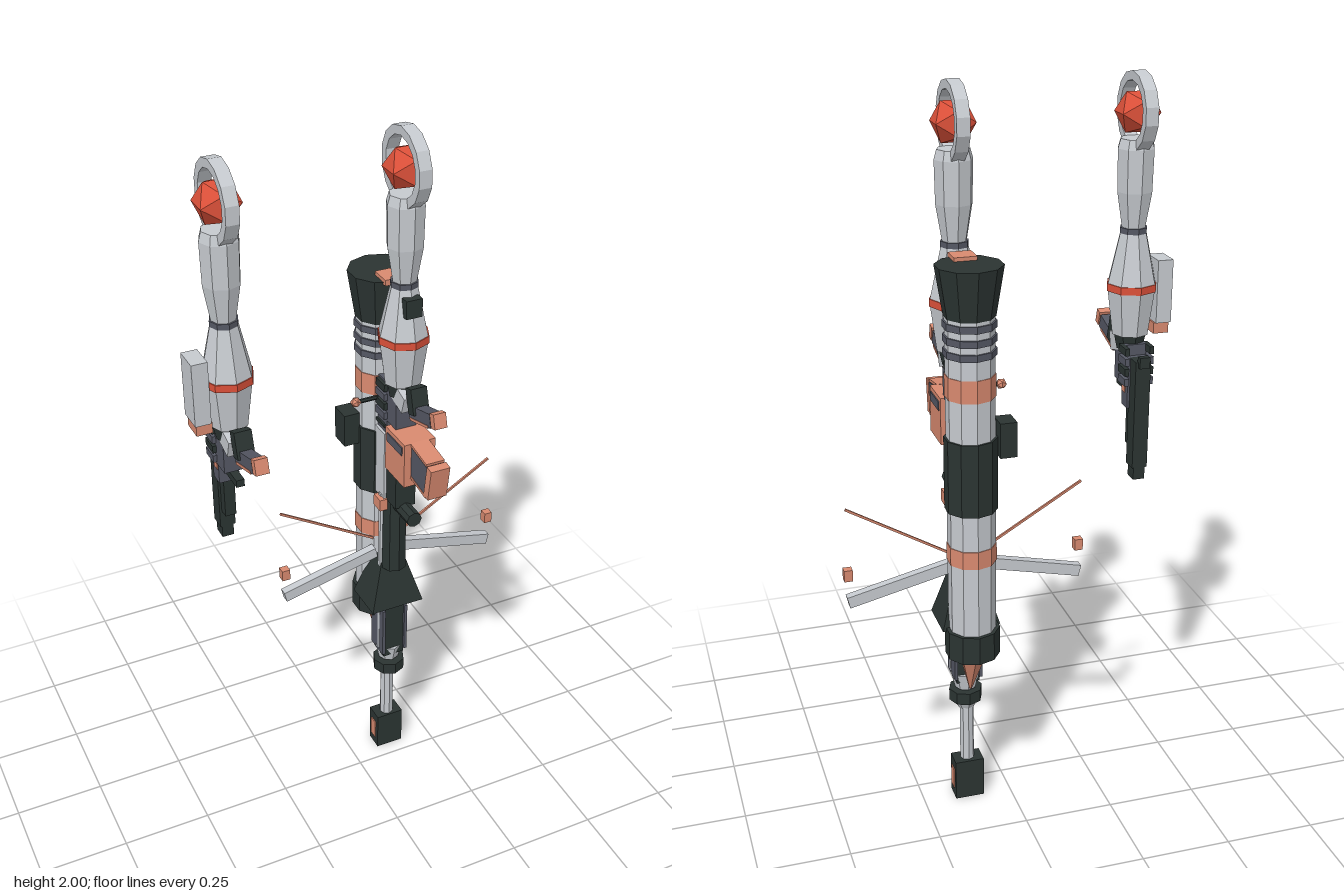
import * as THREE from 'three';

const mat = (name, color) => Object.assign(new THREE.MeshStandardMaterial({ color }), { name });

export function createModel() {
  const grey = mat('light grey', 0xc6cacf), black = mat('charcoal', 0x2b3432), slate = mat('slate', 0x555864);
  const salmon = mat('salmon', 0xd98a70), red = mat('red', 0xdb5039);
  const model = new THREE.Group();

  // Faceted mesh with one normal per face
  function add(parent, name, geometry, material, x, y, z, rx = 0, rz = 0) {
    const g = geometry.index ? geometry.toNonIndexed() : geometry;
    g.computeVertexNormals();
    const m = new THREE.Mesh(g, material);
    m.name = name;
    m.position.set(x, y, z);
    m.rotation.set(rx, 0, rz);
    parent.add(m);
    return m;
  }
  // Box given by its centre and size
  const box = (p, name, m, x, y, z, w, h, d, rx, rz) =>
    add(p, name, new THREE.BoxGeometry(w, h, d), m, x, y, z, rx, rz);
  // Upright tapered cylinder between two heights
  const stack = (p, name, m, x, z, y0, y1, r0, r1, n = 8) =>
    add(p, name, new THREE.CylinderGeometry(r1, r0, y1 - y0, n), m, x, (y0 + y1) / 2, z);

  // Arm with shoulder ring, jewel and gripping hand, centred on its own x = 0
  function makeArm(name, x) {
    const arm = new THREE.Group();
    arm.name = name;
    arm.position.x = x;
    model.add(arm);
    const ring = new THREE.Shape(), hole = new THREE.Path();
    for (let i = 0; i < 14; i++) {
      const a = (i / 14) * Math.PI * 2 + Math.PI / 14, c = Math.cos(a), s = Math.sin(a);
      ring[i ? 'lineTo' : 'moveTo'](c * 0.1, s * 0.1);
      hole[i ? 'lineTo' : 'moveTo'](c * 0.077, s * 0.077);
    }
    ring.closePath();
    hole.closePath();
    ring.holes.push(hole);
    const ringGeo = new THREE.ExtrudeGeometry(ring, { depth: 0.034, bevelEnabled: false });
    ringGeo.translate(0, 0, -0.017).rotateY(Math.PI / 2);
    add(arm, 'shoulderRing', ringGeo, grey, 0, 1.902, 0);
    add(arm, 'shoulderJewel', new THREE.IcosahedronGeometry(0.06, 0), red, 0, 1.9, 0);

    stack(arm, 'shoulderCap', grey, 0, 0, 1.81, 1.835, 0.05, 0.043);
    stack(arm, 'upperArm', grey, 0, 0, 1.70, 1.81, 0.048, 0.05);
    stack(arm, 'upperArmTaper', grey, 0, 0, 1.605, 1.70, 0.032, 0.048);
    stack(arm, 'elbow', slate, 0, 0, 1.592, 1.607, 0.037, 0.037);
    stack(arm, 'forearmTop', grey, 0, 0, 1.46, 1.593, 0.066, 0.036);
    stack(arm, 'forearmBand', red, 0, 0, 1.44, 1.46, 0.069, 0.069);
    stack(arm, 'forearm', grey, 0, 0, 1.32, 1.44, 0.05, 0.066);
    stack(arm, 'wrist', black, 0, 0, 1.28, 1.325, 0.036, 0.046);

    // Hand: palm, knuckles and fingers
    box(arm, 'palm', slate, 0, 1.245, -0.01, 0.06, 0.11, 0.07);
    box(arm, 'knuckles', grey, 0, 1.29, 0.035, 0.062, 0.05, 0.06, 0.3);
    for (let i = 0; i < 4; i++) {
      const y = 1.29 - i * 0.028;
      for (const s of [-1, 1]) box(arm, 'finger', i % 2 ? slate : black, s * 0.034, y, -0.05, 0.012, 0.02, 0.05);
    }
    // Grip leaning up and out from the hand
    box(arm, 'grip', slate, 0, 1.282, 0.125, 0.032, 0.038, 0.12, -0.28);
    box(arm, 'gripSpine', black, 0, 1.305, 0.085, 0.046, 0.07, 0.03, -0.28);
    box(arm, 'gripCap', salmon, 0, 1.306, 0.197, 0.035, 0.04, 0.022, -0.28);
    box(arm, 'gripEdge', salmon, 0, 1.263, 0.125, 0.034, 0.008, 0.1, -0.28);
    return arm;
  }

  // Pistol arm, with forearm pod
  const pistolArm = makeArm('pistolArm', -0.36);
  box(pistolArm, 'forearmPod', grey, -0.08, 1.435, 0, 0.042, 0.17, 0.072);
  box(pistolArm, 'podTip', salmon, -0.076, 1.335, 0, 0.042, 0.03, 0.06);
  box(pistolArm, 'slide', black, 0, 1.12, -0.08, 0.042, 0.3, 0.045);
  box(pistolArm, 'slideNose', black, 0, 0.965, -0.08, 0.032, 0.06, 0.04);
  box(pistolArm, 'pistolFrame', slate, 0, 1.2, -0.045, 0.055, 0.14, 0.04);
  box(pistolArm, 'underBarrel', black, 0, 1.08, -0.045, 0.03, 0.12, 0.03);
  box(pistolArm, 'rearSight', black, 0, 1.27, -0.105, 0.028, 0.03, 0.018);
  box(pistolArm, 'triggerGuard', black, 0, 1.17, 0.02, 0.022, 0.02, 0.07);
  for (const s of [-1, 1]) box(pistolArm, 'pistolAccent', salmon, s * 0.026, 1.195, -0.04, 0.008, 0.05, 0.02);

  // Rifle arm; everything below is placed around its centre line
  const rifleArm = makeArm('rifleArm', 0.12);
  box(rifleArm, 'elbowLatch', black, 0, 1.55, 0.045, 0.045, 0.05, 0.025);

  // Launcher tube on the back
  const tube = new THREE.Group();
  tube.name = 'launcherTube';
  rifleArm.add(tube);
  const sections = [
    ['tubeFlare', black, 1.45, 1.58, 0.066, 0.087], ['tubeNeck', grey, 1.3, 1.45, 0.064, 0.064],
    ['tubeBand', salmon, 1.24, 1.3, 0.066, 0.066], ['tubeUpper', grey, 1.13, 1.24, 0.064, 0.064],
    ['tubeSleeve', black, 0.93, 1.13, 0.07, 0.07], ['tubeLower', grey, 0.83, 0.93, 0.064, 0.064],
    ['tubeBand', salmon, 0.78, 0.83, 0.066, 0.066], ['tubeEnd', grey, 0.58, 0.78, 0.064, 0.064],
    ['tubeCollar', black, 0.5, 0.58, 0.074, 0.074],
  ];
  for (const [name, m, y0, y1, r0, r1] of sections) stack(tube, name, m, 0, -0.134, y0, y1, r0, r1, 10);
  for (let i = 0; i < 3; i++) stack(tube, 'coolingRing', slate, 0, -0.134, 1.35 + i * 0.036, 1.368 + i * 0.036, 0.069, 0.069, 10);
  const nose = new THREE.CylinderGeometry(0.04, 0.004, 0.13, 6);
  const np = nose.attributes.position;
  for (let i = 0; i < np.count; i++) np.setZ(i, np.getZ(i) + (0.065 - np.getY(i)) * 0.2); // lean the tip forward
  add(tube, 'rocketNose', nose, salmon, 0, 0.435, -0.135);
  box(tube, 'topLatch', salmon, 0, 1.582, -0.075, 0.06, 0.016, 0.06);
  box(tube, 'sideBox', black, -0.088, 1.125, -0.15, 0.045, 0.095, 0.06);

  // Rifle receiver and magazine
  const rifle = new THREE.Group();
  rifle.name = 'rifle';
  rifleArm.add(rifle);
  box(rifle, 'receiver', slate, 0, 1.22, -0.06, 0.06, 0.17, 0.065);
  for (let i = 0; i < 5; i++) box(rifle, 'receiverRib', black, 0, 1.17 + i * 0.03, -0.06, 0.07, 0.01, 0.055);
  box(rifle, 'body', grey, 0, 1.045, -0.068, 0.075, 0.21, 0.085);
  box(rifle, 'bodyRail', black, 0, 1.03, -0.12, 0.088, 0.19, 0.024);
  for (const s of [-1, 1]) box(rifle, 'railAccent', salmon, s * 0.047, 1.03, -0.115, 0.008, 0.15, 0.012);
  box(rifle, 'magazineWell', salmon, 0, 1.125, 0.05, 0.09, 0.13, 0.11);
  for (const s of [-1, 1]) box(rifle, 'wellPanel', slate, s * 0.045, 1.165, 0.05, 0.006, 0.025, 0.085);
  box(rifle, 'magazine', slate, 0, 1.13, 0.145, 0.05, 0.085, 0.1, 0.15);
  box(rifle, 'magazineBase', salmon, 0, 1.125, 0.2, 0.055, 0.095, 0.024, 0.15);
  for (const y of [1.083, 1.18]) box(rifle, 'magazineEdge', salmon, 0, y, 0.145, 0.053, 0.008, 0.09, 0.15);
  box(rifle, 'lowerFrame', black, 0, 1.0, 0, 0.06, 0.12, 0.06);
  add(rifle, 'foregrip', new THREE.CylinderGeometry(0.022, 0.022, 0.09, 8), black, 0, 0.93, 0.04, Math.PI / 2);
  for (const s of [-1, 1]) box(rifle, 'bodyFoot', salmon, s * 0.04, 0.925, -0.04, 0.022, 0.035, 0.04);

  // Bolt handle with knob
  add(rifle, 'boltHandle', new THREE.CylinderGeometry(0.006, 0.006, 0.07, 6), black, -0.06, 1.24, -0.072, 0, Math.PI / 2);
  add(rifle, 'boltKnob', new THREE.IcosahedronGeometry(0.015, 0), salmon, -0.1, 1.24, -0.072);

  // Barrel, flared shroud and muzzle
  stack(rifle, 'upperBarrel', black, 0, -0.035, 0.7, 0.95, 0.036, 0.034, 8);
  for (const s of [-1, 1]) stack(rifle, 'gasTube', grey, s * 0.03, -0.045, 0.4, 0.95, 0.012, 0.012, 6);
  const shroud = new THREE.CylinderGeometry(0.05, 0.113, 0.15, 4);
  shroud.rotateY(Math.PI / 4).scale(1, 1, 0.8);
  add(rifle, 'shroud', shroud, black, 0, 0.645, -0.065);
  box(rifle, 'shroudCore', black, 0, 0.475, -0.055, 0.065, 0.2, 0.06);
  for (const s of [-1, 1]) box(rifle, 'shroudPanel', slate, s * 0.035, 0.47, -0.055, 0.009, 0.16, 0.075);
  stack(rifle, 'muzzleFunnel', grey, 0, -0.058, 0.35, 0.4, 0.03, 0.042);
  stack(rifle, 'muzzleCollar', black, 0, -0.056, 0.31, 0.345, 0.047, 0.047);
  stack(rifle, 'collarBase', grey, 0, -0.062, 0.285, 0.31, 0.022, 0.034);
  stack(rifle, 'muzzleRod', grey, 0, -0.066, 0.1, 0.3, 0.02, 0.02);
  box(rifle, 'muzzleTip', black, 0, 0.06, -0.068, 0.082, 0.12, 0.054);
  for (const s of [-1, 1]) box(rifle, 'tipAccent', salmon, s * 0.041, 0.06, -0.068, 0.006, 0.062, 0.026);

  // Bow limbs, strings and floating end blocks, mirrored
  const bow = new THREE.Group();
  bow.name = 'bow';
  rifleArm.add(bow);
  for (const s of [-1, 1]) {
    box(bow, 'limb', grey, s * 0.182, 0.705, -0.071, 0.29, 0.032, 0.024, 0, -s * 0.23);
    box(bow, 'string', salmon, s * 0.182, 0.86, -0.08, 0.325, 0.006, 0.006, 0, s * 0.535);
    box(bow, 'endBlock', salmon, s * 0.32, 0.75, -0.068, 0.023, 0.032, 0.023);
  }
  return model;
}
